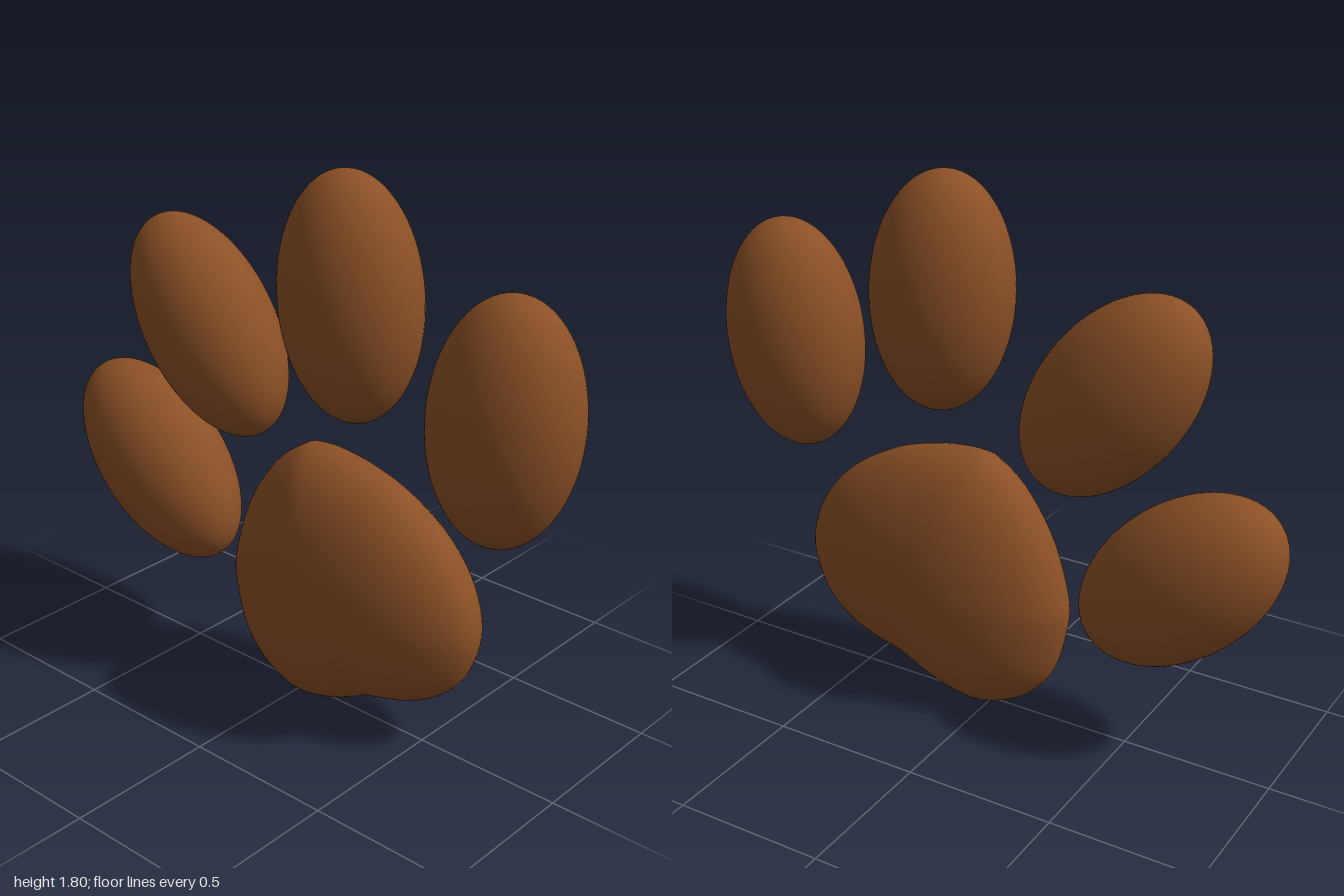
import * as THREE from 'three';

const brown = new THREE.MeshStandardMaterial({ color: 0x8b5026 });
brown.name = 'brown';

// Toe pads: centre y, centre z, tilt in degrees, half width, half length
const TOES = [
  ['frontToe', 1.168, 0.755, 5, 0.243, 0.39],
  ['frontMiddleToe', 1.41, 0.18, -4, 0.24, 0.39],
  ['backMiddleToe', 1.185, -0.418, -37, 0.235, 0.394],
  ['backToe', 0.637, -0.667, -48, 0.24, 0.392],
];

// Main pad outline as [z, y], in two smooth runs between the notch and the peak
const FRONT_EDGE = [
  [0.313, 0.1], [0.463, 0.142], [0.57, 0.2], [0.651, 0.292], [0.694, 0.442],
  [0.651, 0.597], [0.544, 0.731], [0.383, 0.833], [0.222, 0.886], [0.088, 0.903], [0.013, 0.897],
];
const BACK_EDGE = [
  [0.013, 0.897], [-0.1, 0.81], [-0.206, 0.65], [-0.265, 0.474], [-0.276, 0.362],
  [-0.233, 0.185], [-0.153, 0.078], [-0.056, 0.02], [0.035, 0], [0.17, 0.03], [0.313, 0.1],
];

function spline(points) {
  return new THREE.SplineCurve(points.map(([z, y]) => new THREE.Vector2(z, y)));
}

// Sphere with its poles on x, whose equator follows the pad outline
function mainPadGeometry() {
  const outline = new THREE.CurvePath();
  outline.add(spline(FRONT_EDGE));
  outline.add(spline(BACK_EDGE));
  const centre = new THREE.Vector2(0.2, 0.45);
  const halfThickness = 0.203;

  const geometry = new THREE.SphereGeometry(1, 96, 40);
  const { position, uv } = geometry.attributes;
  for (let i = 0; i < position.count; i++) {
    const across = position.getY(i);
    const radius = Math.sqrt(Math.max(0, 1 - across * across));
    const t = THREE.MathUtils.clamp(1 - uv.getX(i), 0, 1);
    const edge = outline.getPoint(t).sub(centre).multiplyScalar(radius).add(centre);
    position.setXYZ(i, across * halfThickness, edge.y, edge.x);
  }
  geometry.computeVertexNormals();
  return geometry;
}

export function createModel() {
  const model = new THREE.Group();
  model.name = 'paw';

  const pad = new THREE.Mesh(mainPadGeometry(), brown);
  pad.name = 'mainPad';
  model.add(pad);

  const ball = new THREE.SphereGeometry(1, 64, 40);
  for (const [name, y, z, tilt, halfWidth, halfLength] of TOES) {
    const toe = new THREE.Mesh(ball, brown);
    toe.name = name;
    toe.position.set(0, y, z);
    toe.rotation.x = THREE.MathUtils.degToRad(tilt);
    toe.scale.set(0.194, halfLength, halfWidth);
    model.add(toe);
  }
  return model;
}
